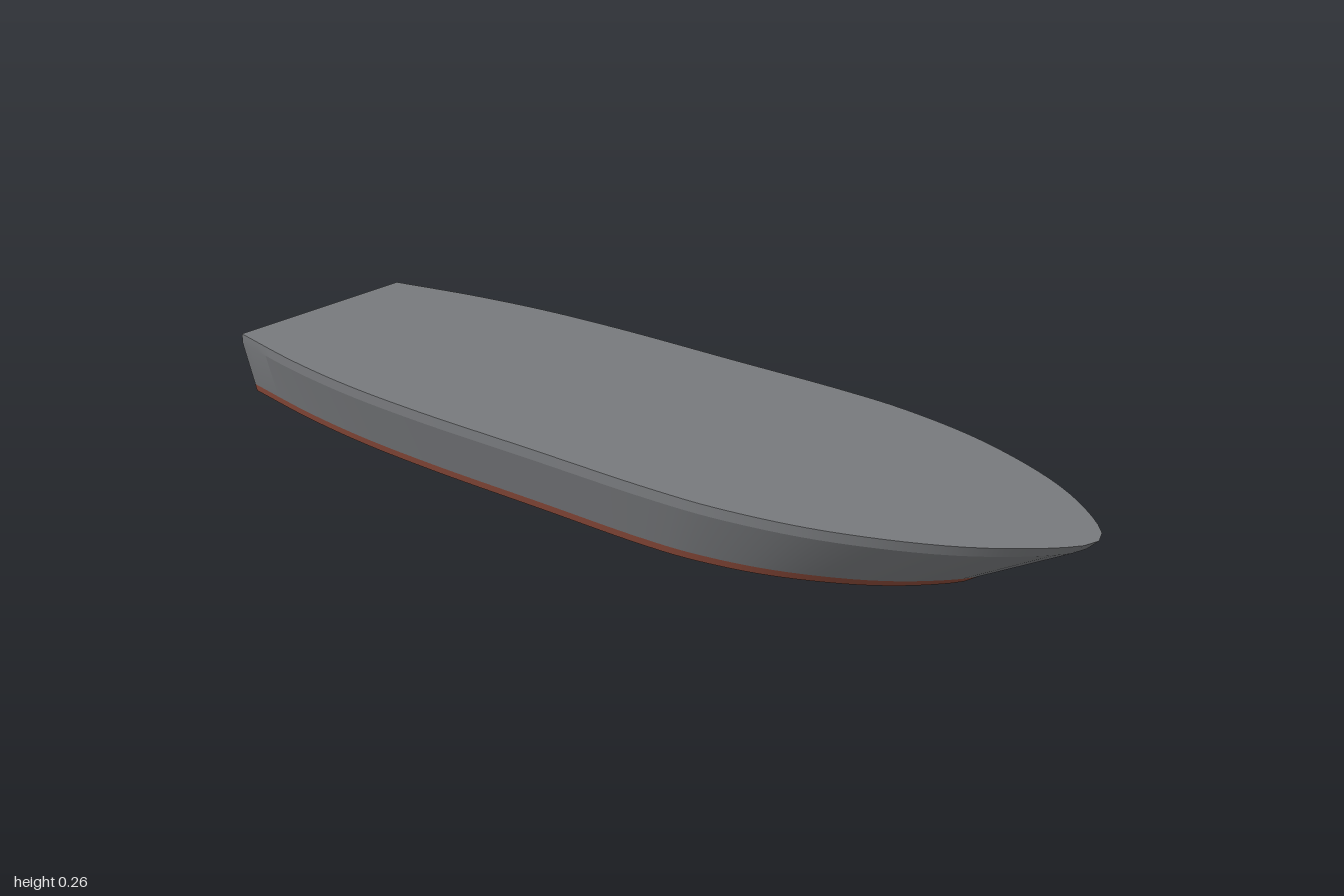
import * as THREE from 'three';
import { toCreasedNormals } from 'three/addons/utils/BufferGeometryUtils.js';

const GREY = 0x77797c, RED = 0x8a4a3a;
const KEEL_X = 0.003;

// Half outline of the deck from the transom corner to the bow: [x, z]
const HALF = [
  [0.24, -1], [0.285, -0.78], [0.311, -0.58], [0.322, -0.36], [0.322, -0.05], [0.322, 0.25],
  [0.312, 0.4], [0.27, 0.6], [0.187, 0.8], [0.113, 0.91], [0.034, 0.988],
];

// Closed ring around the hull at height y, with its own half width and bow position
function makeOutline() {
  const left = HALF.map(([x, z]) => new THREE.Vector3(x, 0, z));
  const right = HALF.map(([x, z]) => new THREE.Vector3(-x, 0, z)).reverse();
  const curve = new THREE.CatmullRomCurve3([...left, new THREE.Vector3(0, 0, 1), ...right]);
  const pts = curve.getSpacedPoints(120);
  pts.push(pts[0].clone());
  return pts;
}

const OUTLINE = makeOutline();

function ring(y, halfWidth, bowZ) {
  return OUTLINE.map((p) => new THREE.Vector3(
    p.x * halfWidth / 0.322, y, p.z > 0 ? p.z * bowZ : p.z));
}

// Surface stitched between successive rings
function loft(rows) {
  const n = rows[0].length;
  const pos = rows.flatMap((r) => r.flatMap((p) => [p.x, p.y, p.z]));
  const index = [];
  for (let i = 0; i < rows.length - 1; i++) {
    for (let j = 0; j < n - 1; j++) {
      const a = i * n + j, b = a + 1, d = a + n, c = d + 1;
      index.push(a, b, d, b, c, d);
    }
  }
  const g = new THREE.BufferGeometry();
  g.setAttribute('position', new THREE.Float32BufferAttribute(pos, 3));
  g.setIndex(index);
  return toCreasedNormals(g, 0.25);
}

function mesh(name, geometry, color) {
  const m = new THREE.Mesh(geometry, new THREE.MeshStandardMaterial({ color }));
  m.name = name;
  return m;
}

// Height of the V bottom on the centre line
function keelHeight(z) {
  const t = THREE.MathUtils.clamp((z - 0.22) / 0.49, 0, 1);
  return 0.047 + 0.073 * t;
}

// Thin keel plate under the hull
function keelFin() {
  const s = new THREE.Shape();
  s.moveTo(0.26, 0.06);
  s.lineTo(0.22, 0.042);
  s.splineThru([[0, 0.026], [-0.3, 0.012], [-0.6, 0.003], [-0.89, 0]]
    .map(([z, y]) => new THREE.Vector2(z, y)));
  s.lineTo(-0.965, 0.047);
  s.lineTo(-0.965, 0.06);
  const g = new THREE.ExtrudeGeometry(s, { depth: 0.008, bevelEnabled: false });
  g.rotateY(-Math.PI / 2);
  g.translate(KEEL_X + 0.004, 0, 0);
  return g;
}

// Round-bottomed outlet that fades into the hull towards the bow
function outlet() {
  const r = 0.008;
  const s = new THREE.Shape();
  s.moveTo(-r, 0.095);
  s.lineTo(-r, 0.063 + r);
  s.absarc(0, 0.063 + r, r, Math.PI, 2 * Math.PI, false);
  s.lineTo(r, 0.095);
  const g = new THREE.ExtrudeGeometry(s, { depth: 0.14, bevelEnabled: false, curveSegments: 10 });
  const p = g.attributes.position;
  for (let i = 0; i < p.count; i++) p.setY(i, p.getY(i) + p.getZ(i) * 0.17);
  g.translate(0, 0, -0.73);
  return toCreasedNormals(g, 0.6);
}

export function createModel() {
  const model = new THREE.Group();
  model.name = 'boatHull';

  const rim = ring(0.265, 0.322, 1);
  const rimBase = ring(0.243, 0.322, 0.978);
  const waterline = ring(0.137, 0.288, 0.79);
  const chine = ring(0.12, 0.283, 0.765);
  const chineInner = ring(0.12, 0.24, 0.71);
  const deckCentre = rim.map((p) => new THREE.Vector3(0, p.y, p.z));
  const keel = chineInner.map((p) => new THREE.Vector3(KEEL_X, keelHeight(p.z), p.z));

  // Each ring closes across the stern, so the transom comes with the sides
  model.add(mesh('deck', loft([deckCentre, rim]), GREY));
  model.add(mesh('topsides', loft([rim, rimBase, waterline]), GREY));
  model.add(mesh('waterlineBand', loft([waterline, chine]), RED));
  model.add(mesh('bottom', loft([chine, chineInner, keel]), RED));
  model.add(mesh('keelFin', keelFin(), RED));

  // Pair of outlets near the stern
  for (const side of [1, -1]) {
    const o = mesh(side > 0 ? 'leftOutlet' : 'rightOutlet', outlet(), 0xcccccc);
    o.position.x = KEEL_X + side * 0.121;
    model.add(o);
  }
  return model;
}
